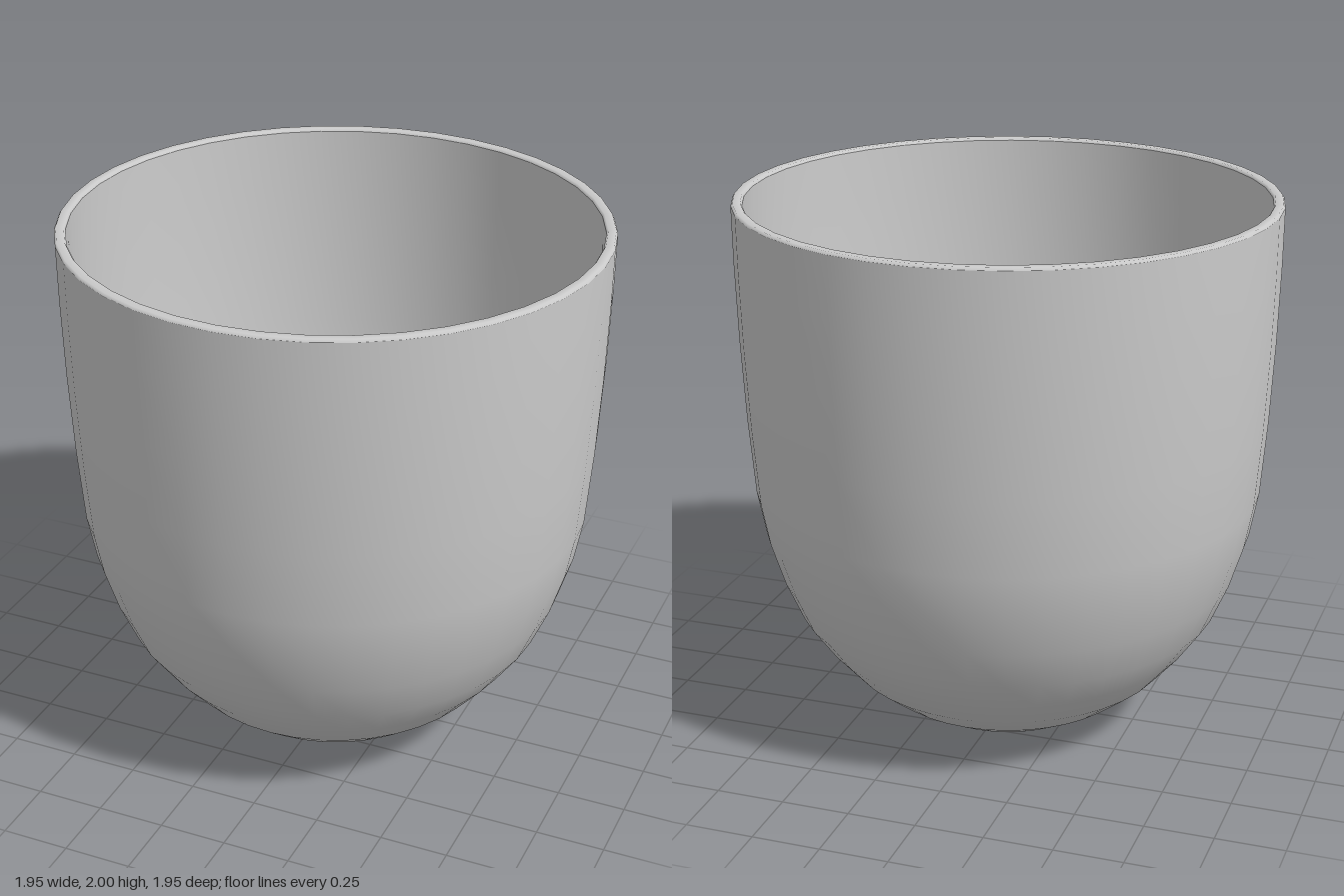
import * as THREE from 'three';

const SEGMENTS = 40;
const WALL = 0.04;

// Outer silhouette [radius, height], from the base up to just under the rim
const OUTER = [
  [0, 0], [0.2, 0.015], [0.35, 0.045], [0.48, 0.12], [0.6, 0.215],
  [0.7, 0.33], [0.785, 0.45], [0.85, 0.6], [0.9, 0.76], [0.93, 0.92],
  [0.952, 1.2], [0.967, 1.5], [0.975, 1.78], [0.977, 1.99],
].map(([r, y]) => new THREE.Vector2(r, y));

// Offsets the silhouette inward by the wall thickness, running rim to base
function innerProfile() {
  const last = OUTER.length - 1;
  return OUTER.map((p, i) => {
    if (i === 0) return new THREE.Vector2(0, WALL);
    if (i === last) return new THREE.Vector2(p.x - WALL, p.y);
    const t = OUTER[i + 1].clone().sub(OUTER[i - 1]).normalize();
    return new THREE.Vector2(p.x - t.y * WALL, p.y + t.x * WALL);
  }).reverse();
}

export function createModel() {
  const cup = new THREE.Group();
  cup.name = 'cup';
  const material = new THREE.MeshStandardMaterial({ color: 0xcccccc });

  const addLathe = (name, points) => {
    const mesh = new THREE.Mesh(new THREE.LatheGeometry(points, SEGMENTS), material);
    mesh.name = name;
    cup.add(mesh);
  };

  const inner = innerProfile();
  const outerEdge = OUTER[OUTER.length - 1];
  const innerEdge = inner[0];

  addLathe('outerWall', OUTER);
  addLathe('innerWall', inner);

  // Flat rim with a fine bevel on both edges
  addLathe('rim', [
    outerEdge,
    new THREE.Vector2(outerEdge.x - 0.006, 2),
    new THREE.Vector2(innerEdge.x + 0.006, 2),
    innerEdge,
  ]);

  return cup;
}
